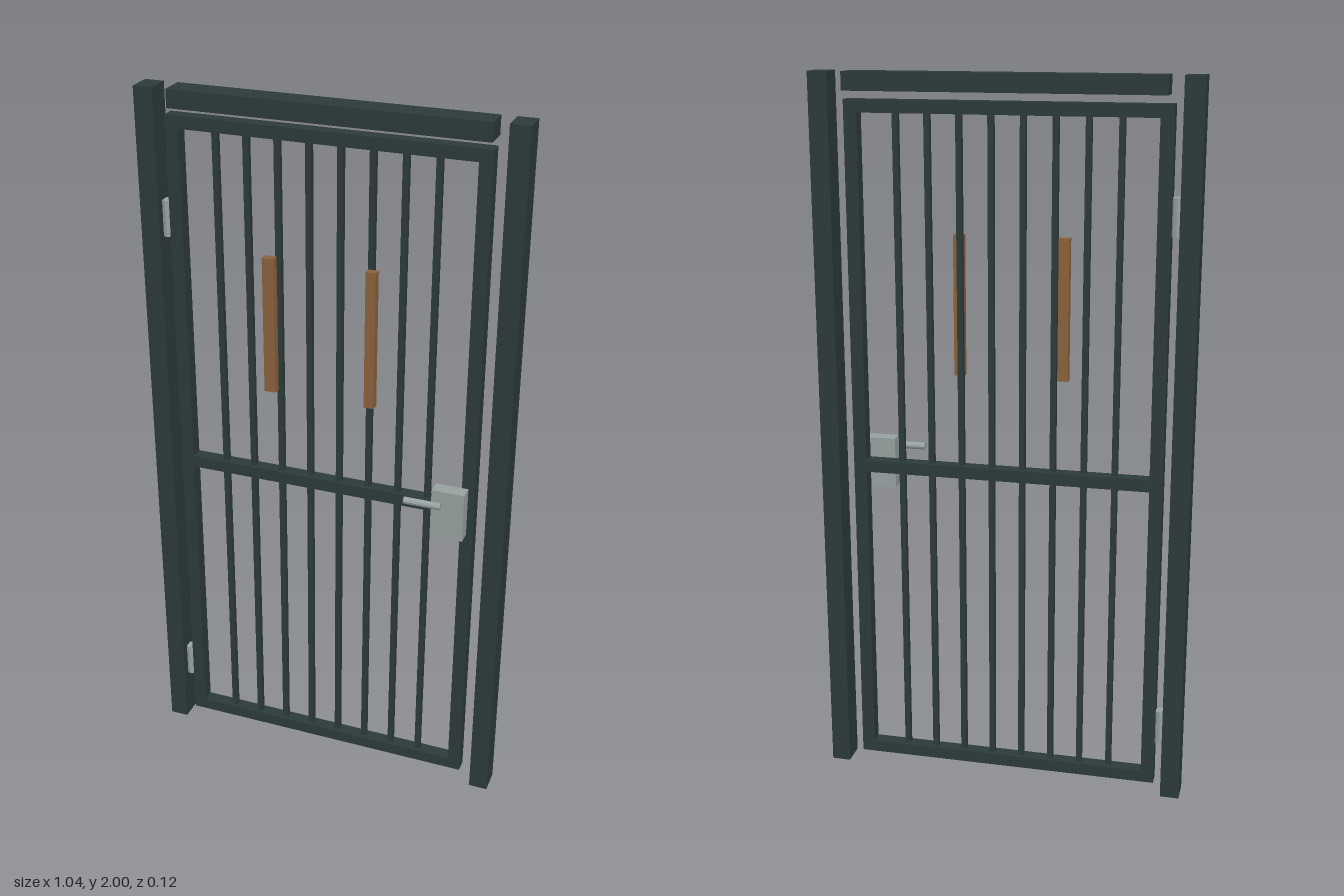
import * as THREE from 'three';

const paint = new THREE.MeshStandardMaterial({ name: 'darkGreenPaint', color: 0x2d3b3b });
const steel = new THREE.MeshStandardMaterial({ name: 'brushedSteel', color: 0x98a3a2 });
const wood = new THREE.MeshStandardMaterial({ name: 'wood', color: 0x8b623c });
steel.flatShading = true;

// Box given by its lower and upper limits on each axis
function box(name, material, [x0, x1], [y0, y1], [z0, z1]) {
  const mesh = new THREE.Mesh(new THREE.BoxGeometry(x1 - x0, y1 - y0, z1 - z0), material);
  mesh.position.set((x0 + x1) / 2, (y0 + y1) / 2, (z0 + z1) / 2);
  mesh.name = name;
  return mesh;
}

function rod(name, material, radius, length, sides, x, y, z) {
  const mesh = new THREE.Mesh(new THREE.CylinderGeometry(radius, radius, length, sides), material);
  mesh.position.set(x, y, z);
  mesh.name = name;
  return mesh;
}

export function createModel() {
  const model = new THREE.Group();
  model.name = 'barredGate';

  // Fixed frame: two posts and the lintel
  const frameZ = [-0.063, 0.008];
  model.add(
    box('rightPost', paint, [-0.518, -0.465], [0, 2], frameZ),
    box('leftPost', paint, [0.465, 0.518], [0, 2], frameZ),
    box('lintel', paint, [-0.426, 0.426], [1.951, 2], frameZ)
  );

  // Swinging leaf: stiles and rails
  const leaf = new THREE.Group();
  leaf.name = 'gateLeaf';
  const leafZ = [-0.048, -0.01];
  leaf.add(
    box('hingeStile', paint, [-0.442, -0.406], [0.032, 1.929], leafZ),
    box('lockStile', paint, [0.391, 0.427], [0.032, 1.929], leafZ),
    box('bottomRail', paint, [-0.406, 0.391], [0.032, 0.066], leafZ),
    box('topRail', paint, [-0.406, 0.391], [1.895, 1.929], leafZ),
    box('middleRail', paint, [-0.406, 0.391], [0.908, 0.942], leafZ)
  );

  // Eight evenly spaced upright bars
  for (let i = 0; i < 8; i++) {
    const x = -0.309 + i * 0.0856;
    leaf.add(box('bar', paint, [x - 0.008, x + 0.008], [0.066, 1.895], [-0.037, -0.021]));
  }

  // Wooden grips
  leaf.add(
    box('rightGrip', wood, [-0.175, -0.142], [1.195, 1.58], [-0.022, 0.001]),
    box('leftGrip', wood, [0.112, 0.14], [1.195, 1.58], [-0.022, 0.001])
  );

  // Lock case and lever
  leaf.add(box('lockCase', steel, [0.318, 0.409], [0.855, 0.998], [-0.01, 0.03]));
  const lever = rod('lockLever', steel, 0.01, 0.103, 10, 0.299, 0.964, 0.05);
  lever.rotation.z = Math.PI / 2;
  leaf.add(lever);
  model.add(leaf);

  // Hinges between post and leaf
  for (const y of [0.204, 1.647]) {
    model.add(rod('hinge', steel, 0.016, 0.1, 10, -0.455, y, -0.028));
  }
  return model;
}
